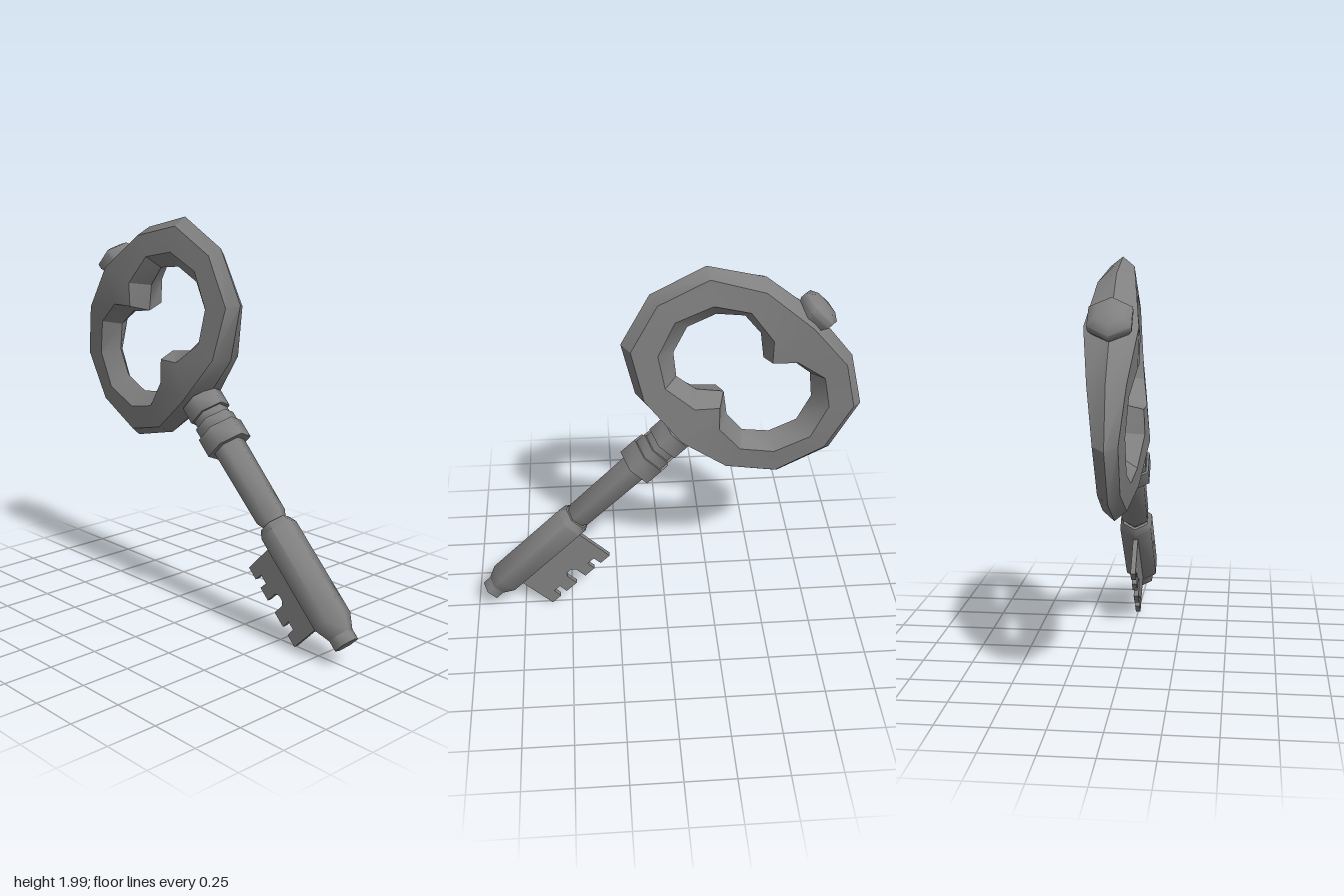
import * as THREE from 'three';
import { toCreasedNormals } from 'three/addons/utils/BufferGeometryUtils.js';

const CENTRE = 1.27; // centre of the bow along the key's axis

// Bow: a ring swept from cross-sections, mirrored from one quarter
function bowGeometry() {
  const outer = [[0, 0.462], [0.306, 0.427], [0.547, 0.278], [0.632, 0]];
  const ridgeZ = [0.12, 0.085, 0.055, 0.05];
  const outerOf = [0, 0, 1, 2, 3];
  const rim = [[0, 0.17, 0.105], [0.085, 0.255, 0.11], [0.26, 0.277, 0.085], [0.405, 0.18, 0.072], [0.473, 0, 0.07]];
  const hole = [[0, 0.13], [0.107, 0.211], [0.23, 0.224], [0.335, 0.14], [0.385, 0]];
  const section = (i, sx, sy) => {
    const o = outer[outerOf[i]], z = ridgeZ[outerOf[i]], r = rim[i], h = hole[i], k = 0.925;
    return [
      [o[0], o[1], 0], [o[0] * k, o[1] * k, z], [r[0], r[1], r[2]],
      [h[0], h[1], 0], [r[0], r[1], -r[2]], [o[0] * k, o[1] * k, -z],
    ].map(p => new THREE.Vector3(p[0] * sx, p[1] * sy + CENTRE, p[2]));
  };
  const ring = [];
  for (let i = 0; i < 4; i++) ring.push(section(i, 1, 1));
  for (let i = 4; i > 0; i--) ring.push(section(i, 1, -1));
  for (let i = 0; i < 4; i++) ring.push(section(i, -1, -1));
  for (let i = 4; i > 0; i--) ring.push(section(i, -1, 1));

  const points = [];
  const face = (...t) => {
    if (new THREE.Triangle(...t).getArea() > 1e-6) points.push(...t);
  };
  ring.forEach((s, i) => {
    const n = ring[(i + 1) % ring.length];
    for (let k = 0; k < 6; k++) {
      const m = (k + 1) % 6;
      face(s[k], s[m], n[m]);
      face(s[k], n[m], n[k]);
    }
  });
  return toCreasedNormals(new THREE.BufferGeometry().setFromPoints(points), 0.5);
}

// Six-sided turned part; profile is [radius, height] from bottom to top
function turned(profile) {
  const pts = profile.map(p => new THREE.Vector2(p[0], p[1]));
  return toCreasedNormals(new THREE.LatheGeometry(pts, 6, Math.PI / 2), 1.1);
}

// Toothed plate
function bitGeometry() {
  const shape = new THREE.Shape([
    [-0.04, 0.023], [-0.302, 0.023], [-0.302, -0.045], [-0.253, -0.047], [-0.253, -0.095], [-0.302, -0.093],
    [-0.302, -0.165], [-0.235, -0.165], [-0.215, -0.185], [-0.215, -0.215], [-0.235, -0.232], [-0.302, -0.232],
    [-0.302, -0.312], [-0.25, -0.31], [-0.25, -0.355], [-0.302, -0.358], [-0.302, -0.423], [-0.04, -0.423],
  ].map(p => new THREE.Vector2(p[0], p[1])));
  const g = new THREE.ExtrudeGeometry(shape, { depth: 0.026, bevelEnabled: false });
  return g.translate(0, 0, -0.013);
}

export function createModel() {
  const metal = new THREE.MeshStandardMaterial({ color: 0x808080 });
  metal.name = 'grey metal';
  const key = new THREE.Group();
  key.name = 'key';
  const add = (name, geometry) => {
    const mesh = new THREE.Mesh(geometry, metal);
    mesh.name = name;
    key.add(mesh);
  };

  add('bow', bowGeometry());
  add('knob', turned([[0.085, 1.69], [0.11, 1.735], [0.11, 1.765], [0.068, 1.79], [0, 1.8]]));
  // Stepped collar under the bow
  add('collar', turned([
    [0, 0.545], [0.118, 0.545], [0.118, 0.645], [0.105, 0.645], [0.105, 0.7], [0.092, 0.7],
    [0.092, 0.74], [0.108, 0.74], [0.108, 0.83], [0, 0.83],
  ]));
  add('shaft', turned([[0.06, 0.06], [0.06, 0.1], [0.078, 0.135], [0.083, 0.56]]));
  add('barrel', turned([
    [0, -0.515], [0.062, -0.515], [0.096, -0.44], [0.096, 0.06], [0.075, 0.098], [0, 0.098],
  ]));
  add('tip', turned([[0, -0.567], [0.062, -0.567], [0.062, -0.5]]));
  add('bit', bitGeometry());

  // Lean the key diagonally
  key.rotation.z = Math.PI / 4;
  key.position.set(0.52, 0.52, 0);
  const model = new THREE.Group();
  model.name = 'model';
  model.add(key);
  return model;
}
